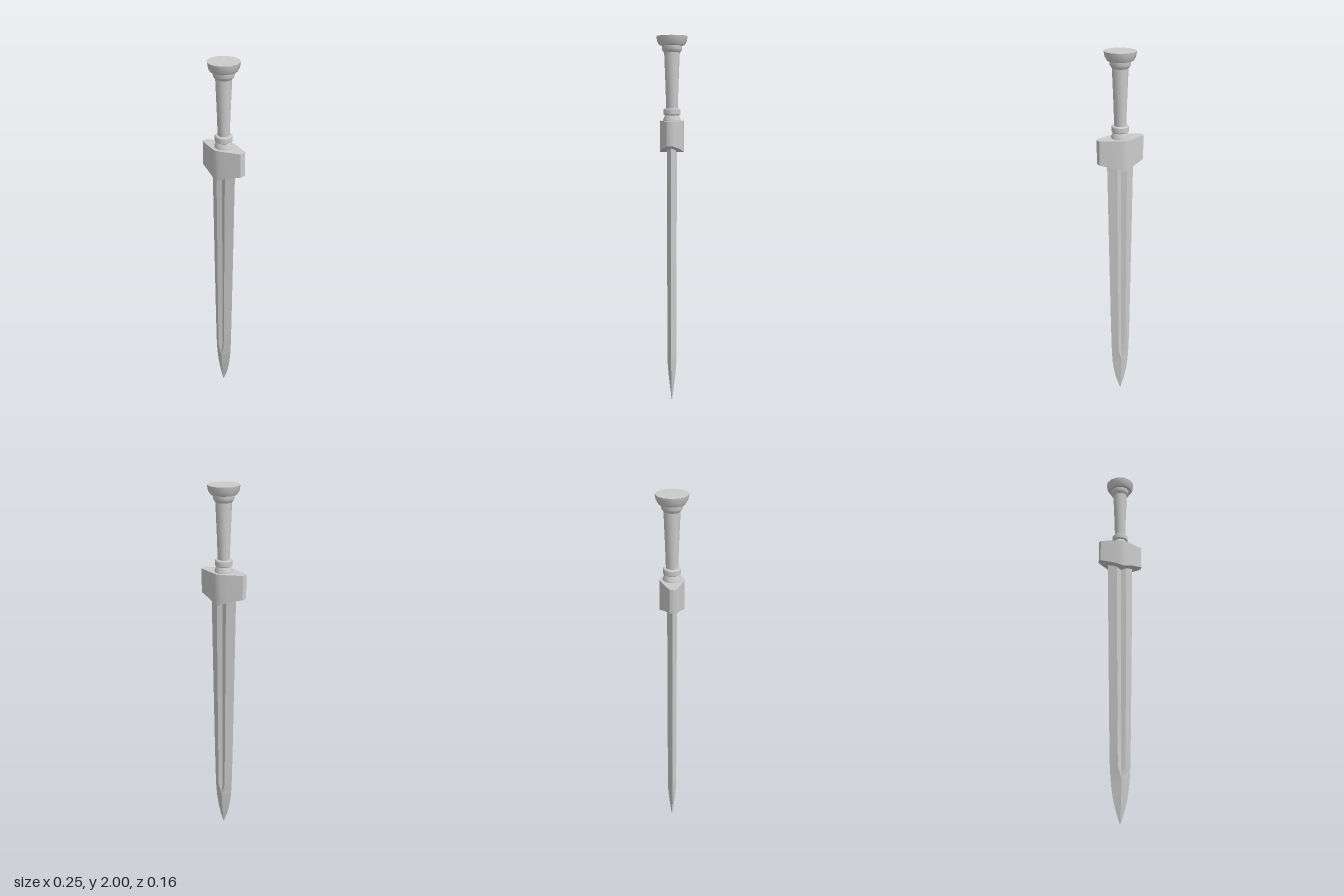
import * as THREE from 'three';
import { toCreasedNormals } from 'three/addons/utils/BufferGeometryUtils.js';

const material = new THREE.MeshStandardMaterial({ color: 0xcccccc });

// Skins a list of equal-sized rings (arrays of [x, y, z]) and closes both ends.
function loft(rings) {
  const n = rings[0].length;
  const index = [];
  for (let i = 0; i < rings.length - 1; i++) {
    for (let j = 0; j < n; j++) {
      const a = i * n + j, b = i * n + (j + 1) % n;
      index.push(a, b, b + n, a, b + n, a + n);
    }
  }
  const end = (rings.length - 1) * n;
  for (let j = 1; j < n - 1; j++) {
    index.push(0, j + 1, j, end, end + j, end + j + 1);
  }
  const geometry = new THREE.BufferGeometry();
  geometry.setAttribute('position', new THREE.Float32BufferAttribute(rings.flat(2), 3));
  geometry.setIndex(index);
  return geometry;
}

function addPart(group, name, geometry, crease) {
  const mesh = new THREE.Mesh(toCreasedNormals(geometry, crease), material);
  mesh.name = name;
  group.add(mesh);
}

// Twelve-sided turned part from [radius, y] pairs, bottom to top.
function turned(profile) {
  return new THREE.LatheGeometry(profile.map(([r, y]) => new THREE.Vector2(r, y)), 12);
}

export function createModel() {
  const sword = new THREE.Group();
  sword.name = 'sword';

  // Blade sections: y, half width, fuller half width, thickness, fuller depth
  const bladeSections = [
    [0, 0.001, 0, 0.001, 0.001],
    [0.03, 0.012, 0, 0.005, 0.005],
    [0.07, 0.025, 0, 0.01, 0.01],
    [0.12, 0.037, 0, 0.016, 0.016],
    [0.17, 0.045, 0, 0.021, 0.021],
    [0.215, 0.05, 0.001, 0.024, 0.024],
    [0.28, 0.054, 0.02, 0.024, 0.013],
    [0.5, 0.059, 0.022, 0.024, 0.012],
    [1.0, 0.067, 0.025, 0.024, 0.012],
    [1.47, 0.074, 0.028, 0.024, 0.012],
  ];
  const bladeRings = bladeSections.map(([y, w, f, t, g]) => [
    [w, y, 0], [f, y, -t], [0, y, -g], [-f, y, -t],
    [-w, y, 0], [-f, y, t], [0, y, g], [f, y, t],
  ]);
  addPart(sword, 'blade', loft(bladeRings), 0.2);

  // Guard sections from the middle out: x, half depth, underside height
  const half = [
    [0, 0.063, 1.405],
    [0.02, 0.059, 1.412],
    [0.05, 0.048, 1.424],
    [0.122, 0.018, 1.443],
    [0.127, 0.0005, 1.445],
  ];
  const guardSections = [
    ...half.slice(1).reverse().map(([x, d, b]) => [-x, d, b]),
    ...half,
  ];
  const top = 1.57;
  const guardRings = guardSections.map(([x, d, b]) => [
    [x, top, -d], [x, top, d], [x, b, d], [x, b, -d],
  ]);
  addPart(sword, 'guard', loft(guardRings), 0.5);

  // Collar between guard and grip
  addPart(sword, 'collar', turned([
    [0.047, 1.56], [0.047, 1.575], [0.037, 1.598], [0.045, 1.603],
    [0.045, 1.628], [0.041, 1.633], [0, 1.633],
  ]), 0.6);

  // Tapered grip, wider towards the pommel
  addPart(sword, 'grip', turned([
    [0.03, 1.62], [0.034, 1.75], [0.041, 1.925],
  ]), 0.6);

  // Stepped pommel with a flat top
  addPart(sword, 'pommel', turned([
    [0, 1.918], [0.042, 1.918], [0.052, 1.932], [0.053, 1.952],
    [0.066, 1.955], [0.076, 1.972], [0.081, 2.0], [0, 2.0],
  ]), 0.6);

  return sword;
}
